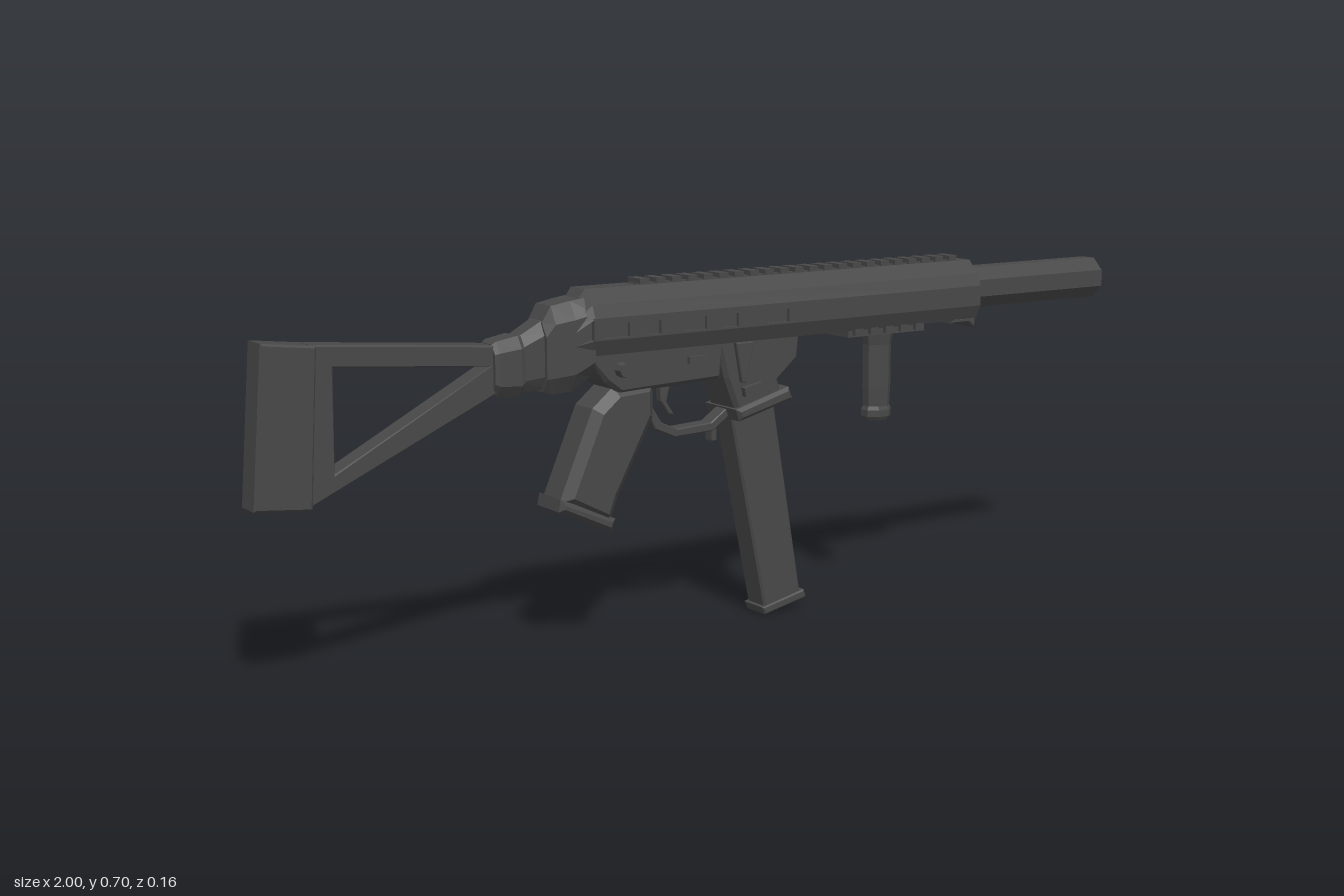
import * as THREE from 'three';

const material = new THREE.MeshStandardMaterial({ color: 0x484848, flatShading: true });

export function createModel() {
  const model = new THREE.Group();
  model.position.z = 0.01;

  function add(name, geometry, x = 0, y = 0, z = 0) {
    const mesh = new THREE.Mesh(geometry, material);
    mesh.name = name;
    mesh.position.set(x, y, z);
    model.add(mesh);
    return mesh;
  }
  const box = (name, w, h, d, x, y, z) => add(name, new THREE.BoxGeometry(w, h, d), x, y, z);
  const vectors = (points) => points.map(([x, y]) => new THREE.Vector2(x, y));

  // Side outline extruded across z, with chamfered edges; outlines with holes run
  // counterclockwise and their holes clockwise
  function slab(name, points, half, bevel = 0.006, holes = []) {
    const shape = new THREE.Shape(vectors(points));
    shape.holes = holes.map((hole) => new THREE.Path(vectors(hole)));
    const geometry = new THREE.ExtrudeGeometry(shape, {
      depth: 2 * (half - bevel), bevelEnabled: bevel > 0, bevelThickness: bevel,
      bevelSize: bevel, bevelOffset: -bevel, bevelSegments: 1,
    });
    return add(name, geometry.translate(0, 0, bevel - half));
  }

  // Mirrored profile [z, y] swept through sections [x, halfWidth, bottom, top]
  function loft(name, profile, sections) {
    const ring = [...profile, ...profile.map(([z, y]) => [-z, y]).reverse()];
    const n = ring.length, positions = [], index = [];
    for (const [x, half, y0, y1] of sections)
      for (const [z, y] of ring) positions.push(x, y0 + y * (y1 - y0), z * half);
    for (let i = 0; i < sections.length - 1; i++)
      for (let j = 0; j < n; j++) {
        const a = i * n + j, b = i * n + (j + 1) % n;
        index.push(a, b, b + n, a, b + n, a + n);
      }
    // End caps around a middle point
    const last = (sections.length - 1) * n, middle = last + n;
    for (const [x, , y0, y1] of [sections[0], sections.at(-1)]) positions.push(x, y0 + 0.41 * (y1 - y0), 0);
    for (let j = 0; j < n; j++) {
      const k = (j + 1) % n;
      index.push(middle, k, j, middle + 1, last + j, last + k);
    }
    const geometry = new THREE.BufferGeometry();
    geometry.setAttribute('position', new THREE.Float32BufferAttribute(positions, 3));
    geometry.setIndex(index);
    geometry.computeVertexNormals();
    return add(name, geometry);
  }

  // Eight-sided turned part along x, from [radius, x] points
  function turned(name, points, y) {
    const geometry = new THREE.LatheGeometry(vectors(points), 8);
    return add(name, geometry.rotateY(Math.PI / 8).rotateZ(-Math.PI / 2), 0, y, 0);
  }

  // Upper body with sloped rear and a channel along each side
  loft('upperBody', [[0.4, 1], [0.83, 0.78], [1, 0.574], [0.87, 0.55], [0.87, 0.27], [1, 0.246], [0.77, 0]], [
    [-0.37, 0.05, 0.572, 0.65], [-0.335, 0.063, 0.57, 0.694], [0.615, 0.063, 0.57, 0.694],
  ]);
  slab('frontLip', [[0.55, 0.575], [0.615, 0.575], [0.612, 0.552], [0.595, 0.564], [0.55, 0.564]], 0.05, 0.003);

  // Slotted plates filling the channels
  const slots = [[-0.32, -0.26], [-0.225, -0.19], [-0.14, -0.085], [-0.045, -0.01], [0.06, 0.112]]
    .map(([a, b]) => [[a, 0.604], [a, 0.63], [b, 0.63], [b, 0.604]]);
  for (const side of [-1, 1])
    slab('slottedPlate', [[-0.338, 0.6], [0.615, 0.6], [0.615, 0.642], [-0.338, 0.642]], 0.004, 0, slots)
      .position.z = side * 0.0592;

  // Top rail and its teeth
  box('topRail', 0.8, 0.008, 0.036, 0.185, 0.692, 0);
  for (let i = 0; i < 22; i++) box('railTooth', 0.021, 0.015, 0.044, -0.2 + i * 0.0367, 0.6975, 0);

  // Selector levers, ribs and catches on both sides
  for (const side of [-1, 1]) {
    const knob = add('selectorKnob', new THREE.CylinderGeometry(0.014, 0.016, 0.03, 8), -0.27, 0.54, side * 0.052);
    knob.rotation.x = side * Math.PI / 2;
    const lever = box('selectorLever', 0.06, 0.012, 0.014, -0.245, 0.532, side * 0.055);
    lever.rotation.z = -0.25;
    slab('magazineWellRib', [[-0.012, 0.57], [0.03, 0.57], [0.012, 0.49], [0.003, 0.49]], 0.008, 0.002)
      .position.z = side * 0.05;
    box('magazineCatch', 0.045, 0.018, 0.016, 0.03, 0.475, side * 0.052).rotation.z = 0.2;
    box('boltCatch', 0.04, 0.014, 0.016, -0.1, 0.545, side * 0.048);
  }

  // Charging handle on the right side
  box('chargingSlot', 0.05, 0.02, 0.006, 0.396, 0.64, -0.0625);
  const handle = box('chargingHandle', 0.014, 0.012, 0.035, 0.396, 0.645, -0.07);
  handle.rotation.x = 0.25;

  // Suppressor with a bore, and its neck
  turned('barrelNeck', [[0, 0.6], [0.036, 0.6], [0.036, 0.64], [0, 0.64]], 0.633);
  turned('suppressor', [[0, 0.622], [0.041, 0.622], [0.0465, 0.63], [0.0465, 0.99],
    [0.038, 1], [0.014, 1], [0.014, 0.95], [0, 0.95]], 0.633);

  // Stock hinge in stepped blocks
  const chamfered = [[0.6, 1], [1, 0.8], [1, 0.2], [0.6, 0]];
  loft('hingeRear', chamfered, [
    [-0.53, 0.032, 0.515, 0.605], [-0.522, 0.036, 0.508, 0.61], [-0.478, 0.039, 0.503, 0.618], [-0.47, 0.036, 0.51, 0.615],
  ]);
  loft('hingeNeck', chamfered, [[-0.475, 0.032, 0.512, 0.615], [-0.41, 0.036, 0.512, 0.65]]);
  loft('hingeFront', chamfered, [
    [-0.428, 0.043, 0.508, 0.638], [-0.41, 0.046, 0.502, 0.668], [-0.37, 0.05, 0.505, 0.675], [-0.33, 0.055, 0.53, 0.68],
  ]);

  // Triangular stock
  slab('buttPlate', [[-0.976, 0.644], [-0.874, 0.632], [-0.892, 0.343], [-1, 0.354]], 0.03, 0.004);
  slab('stockFrame', [[-0.895, 0.348], [-0.52, 0.515], [-0.52, 0.603], [-0.885, 0.634]], 0.024, 0.003,
    [[[-0.843, 0.59], [-0.535, 0.566], [-0.846, 0.402]]]);

  // Lower receiver and grip
  slab('receiver', [[-0.355, 0.58], [-0.302, 0.516], [-0.27, 0.492], [-0.19, 0.495], [-0.04, 0.5], [-0.03, 0.58]], 0.047, 0.008);
  slab('grip', [[-0.28, 0.505], [-0.325, 0.468], [-0.4, 0.295], [-0.292, 0.24], [-0.272, 0.29], [-0.19, 0.44], [-0.19, 0.51]], 0.049, 0.018);
  slab('gripBase', [[-0.402, 0.304], [-0.407, 0.28], [-0.292, 0.226], [-0.282, 0.252]], 0.049, 0.009);

  // Trigger and guard
  slab('triggerGuard', [[-0.2, 0.46], [-0.175, 0.41], [-0.13, 0.39], [-0.04, 0.393], [0, 0.42],
    [-0.005, 0.437], [-0.045, 0.41], [-0.125, 0.406], [-0.16, 0.422], [-0.185, 0.46]], 0.018, 0.002);
  slab('trigger', [[-0.16, 0.51], [-0.13, 0.51], [-0.143, 0.46], [-0.125, 0.432], [-0.137, 0.435], [-0.156, 0.462]], 0.009, 0.002);
  box('magazineRelease', 0.012, 0.03, 0.02, -0.033, 0.387, 0);

  // Magazine well and magazine
  slab('magazineWell', [[-0.05, 0.58], [0.153, 0.58], [0.147, 0.525], [0.1, 0.485], [0.11, 0.45], [0, 0.425], [-0.03, 0.5]], 0.048, 0.008);
  slab('magazineWellFlange', [[-0.01, 0.437], [0.118, 0.472], [0.128, 0.446], [-0.002, 0.413]], 0.06, 0.007);
  slab('magazine', [[-0.005, 0.44], [0.1, 0.46], [0.174, 0.03], [0.083, 0.012]], 0.03, 0.004).position.z = -0.005;
  slab('magazineBase', [[0.075, 0.016], [0.082, 0], [0.186, 0.022], [0.18, 0.039]], 0.034, 0.003).position.z = -0.005;

  // Foregrip on its toothed underside mount
  box('foregripMount', 0.2, 0.02, 0.08, 0.38, 0.565, 0);
  for (let i = 0; i < 5; i++) box('mountTooth', 0.02, 0.014, 0.1, 0.3 + i * 0.04, 0.566, 0);
  const foregrip = new THREE.LatheGeometry(vectors([[0, 0.37], [0.028, 0.37], [0.034, 0.378], [0.034, 0.392],
    [0.03, 0.4], [0.032, 0.44], [0.032, 0.53], [0.037, 0.555], [0, 0.555]]), 8);
  add('foregrip', foregrip.rotateY(Math.PI / 8), 0.39, 0, -0.004).scale.z = 0.82;

  return model;
}
